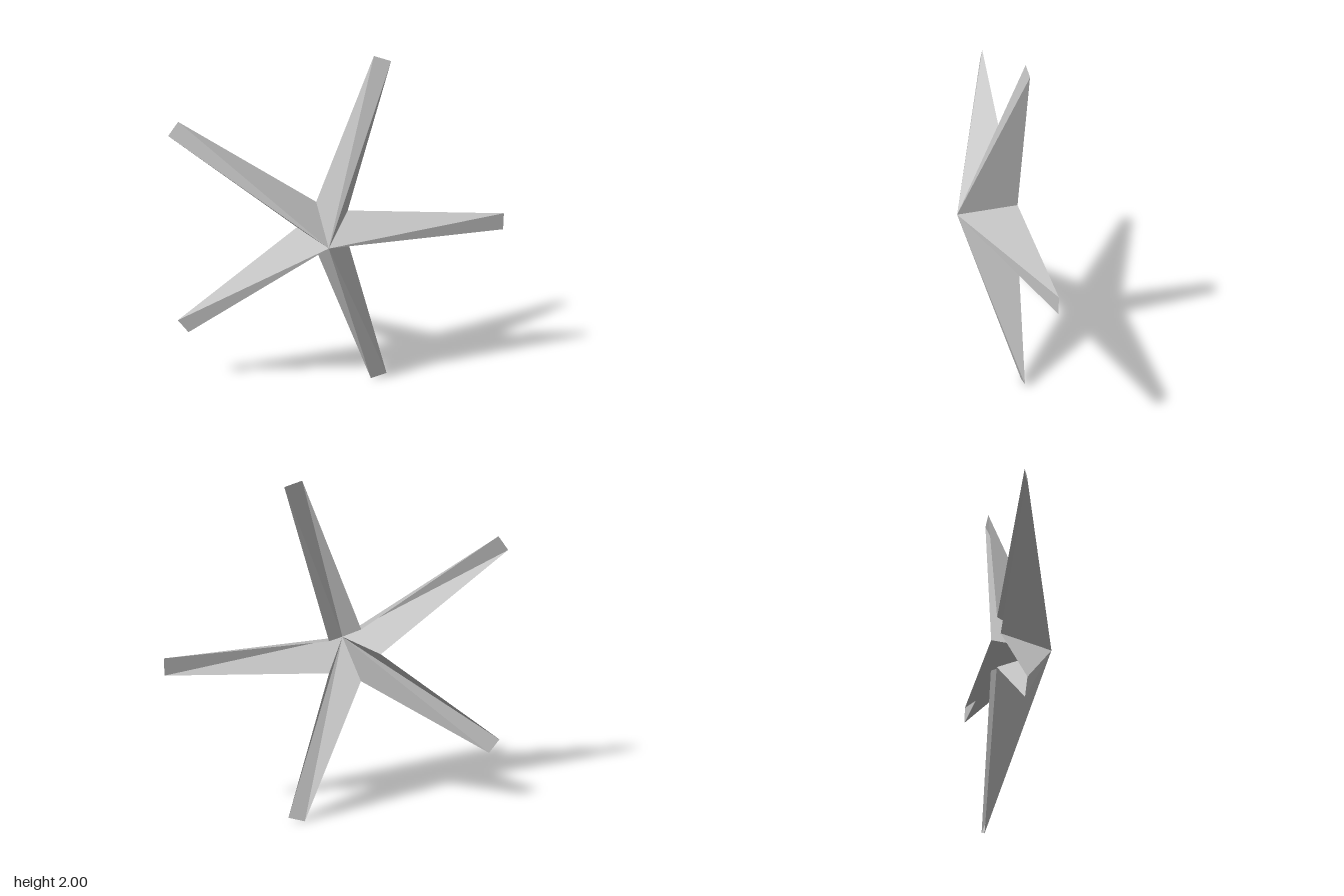
import * as THREE from 'three';

const ARMS = 5, TIP = 1.0353, HALF_TIP = 0.05, VALLEY = 0.161, DEPTH = 0.16;

// One hollow arm along +x: two flanks and a narrow ridge face fanning out from the apex
function armGeometry() {
  const a = Math.PI / ARMS;
  const vx = VALLEY * Math.cos(a), vy = VALLEY * Math.sin(a);
  const apex = [0, 0, DEPTH];
  const rim = [[vx, -vy], [TIP, -HALF_TIP], [TIP, HALF_TIP], [vx, vy]];
  const pos = [];
  for (let i = 0; i < rim.length - 1; i++) {
    pos.push(...apex, ...rim[i], -DEPTH, ...rim[i + 1], -DEPTH);
  }
  const geo = new THREE.BufferGeometry();
  geo.setAttribute('position', new THREE.Float32BufferAttribute(pos, 3));
  geo.computeVertexNormals();
  return geo;
}

export function createModel() {
  const model = new THREE.Group();
  model.name = 'star';
  const grey = new THREE.MeshStandardMaterial({ color: 0xc0c0c0, side: THREE.DoubleSide, flatShading: true });
  grey.name = 'light grey';

  // Five arms around the centre, open at the back
  const geo = armGeometry();
  for (let i = 0; i < ARMS; i++) {
    const arm = new THREE.Mesh(geo, grey);
    arm.name = `arm${i + 1}`;
    arm.position.set(-0.084, 1, 0);
    arm.rotation.z = (i * 2 * Math.PI) / ARMS;
    model.add(arm);
  }
  return model;
}
